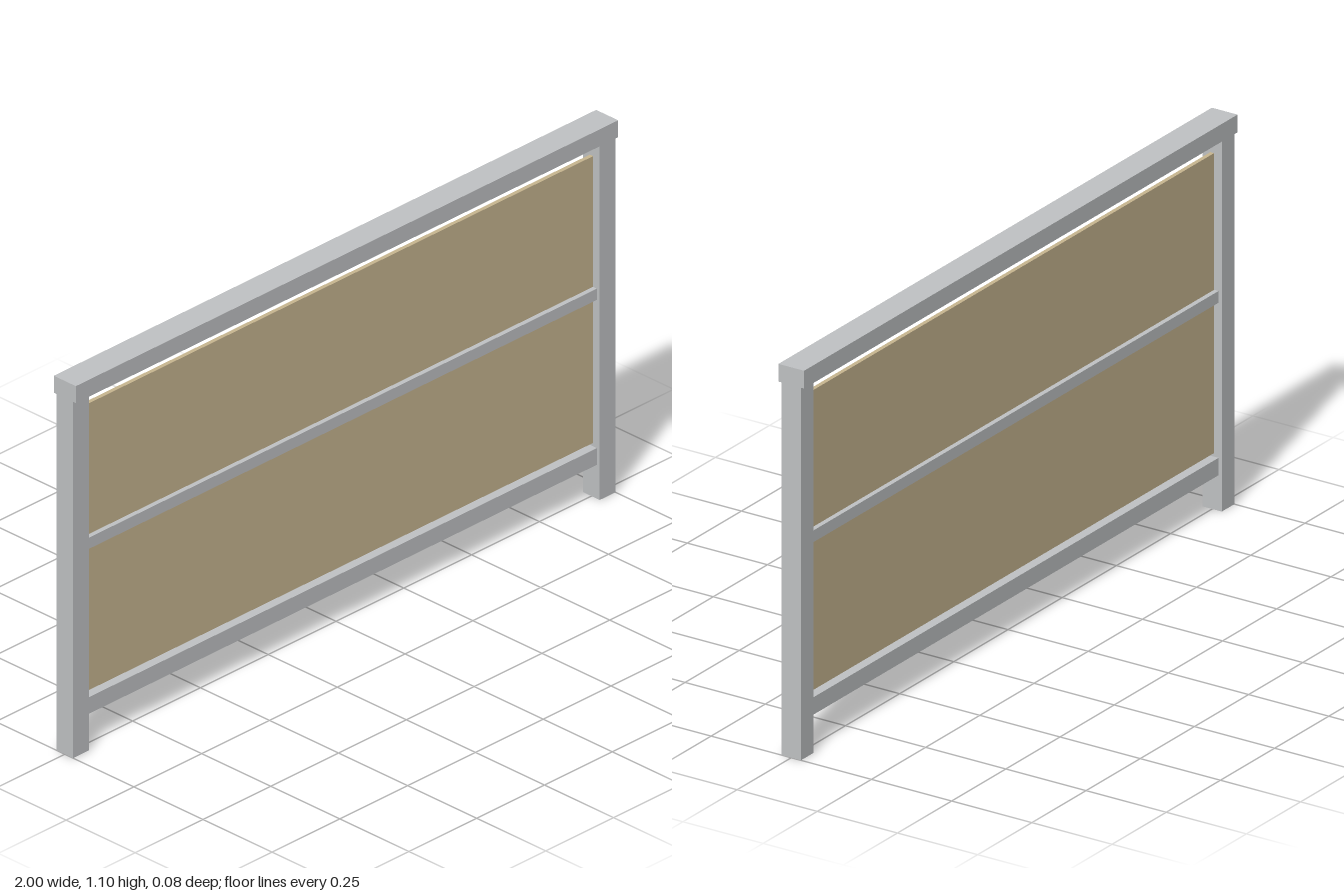
import * as THREE from 'three';

export function createModel() {
  const model = new THREE.Group();
  model.name = 'railing';

  const metal = new THREE.MeshStandardMaterial({ color: 0xc0c2c4 });
  metal.name = 'grey metal';
  const board = new THREE.MeshStandardMaterial({ color: 0xc8b690 });
  board.name = 'tan board';

  // Box spanning bottom to top, centred on z = 0
  function bar(name, material, width, bottom, top, depth, x = 0) {
    const mesh = new THREE.Mesh(new THREE.BoxGeometry(width, top - bottom, depth), material);
    mesh.name = name;
    mesh.position.set(x, (bottom + top) / 2, 0);
    model.add(mesh);
  }

  const postWidth = 0.058;
  const span = 2 - 2 * postWidth;

  // Posts
  bar('leftPost', metal, postWidth, 0, 1.05, 0.06, 1 - postWidth / 2);
  bar('rightPost', metal, postWidth, 0, 1.05, 0.06, -1 + postWidth / 2);

  // Rails between the posts, and the wider handrail on top
  bar('handrail', metal, 2, 1.05, 1.1, 0.08);
  bar('middleRail', metal, span, 0.586, 0.619, 0.04);
  bar('bottomRail', metal, span, 0.1, 0.149, 0.04);

  // Infill panels above and below the middle rail
  bar('upperPanel', board, span, 0.619, 1.004, 0.012);
  bar('lowerPanel', board, span, 0.159, 0.586, 0.012);

  return model;
}
